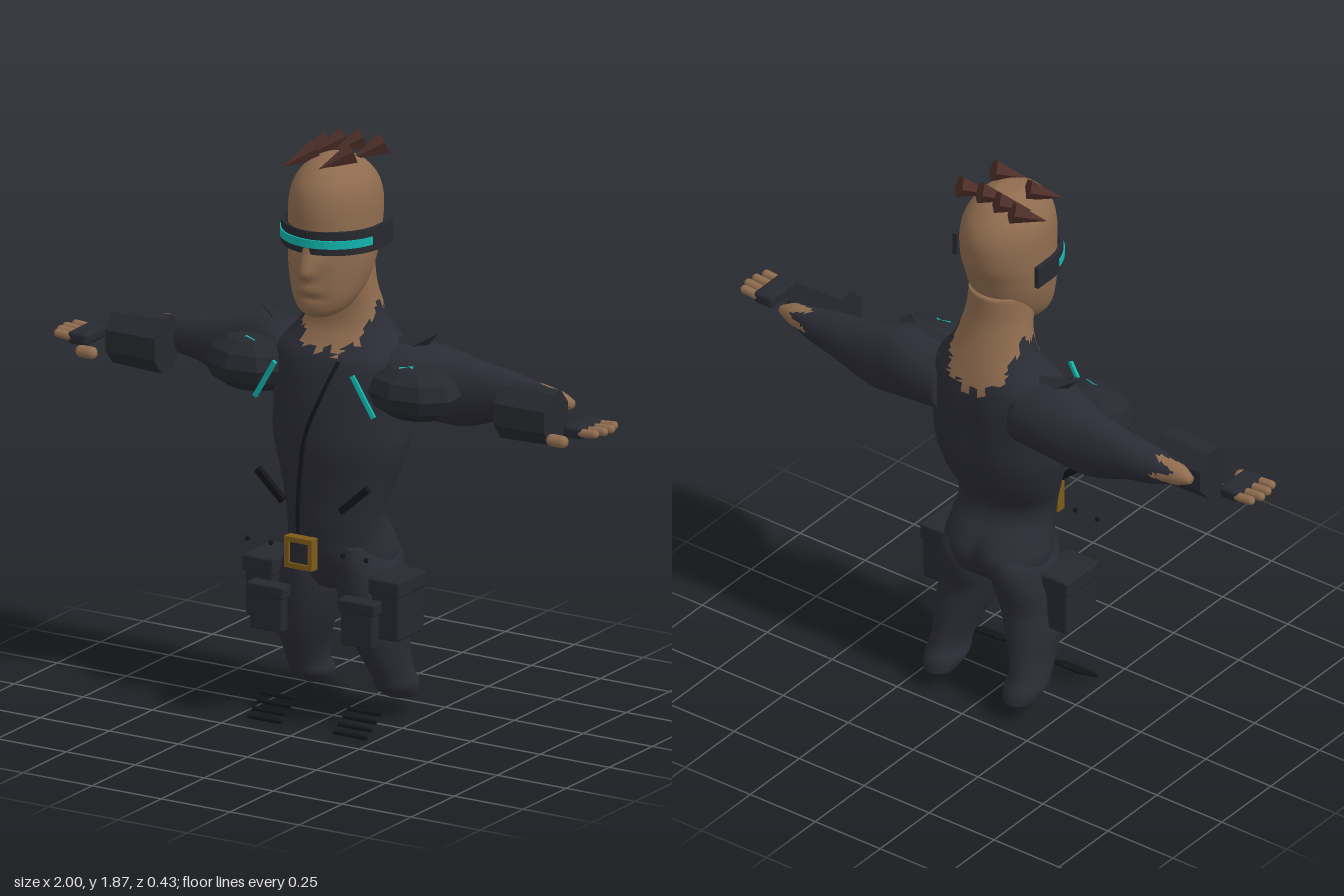
import * as THREE from 'three';
import { RoundedBoxGeometry } from 'three/addons/geometries/RoundedBoxGeometry.js';

const material = (name, color) => {
  const m = new THREE.MeshStandardMaterial({ color });
  m.name = name;
  return m;
};
const gauss = (d, w) => Math.exp(-(d * d) / (w * w));

// Smooth loft through elliptical sections [t, a0, a1, z0, z1];
// t runs along y (a is x) or along x (a is y). paint(x, y, z) picks the material index of a face.
function loft(sections, axis, { sides = 32, steps = 4, bend = null, paint = null } = {}) {
  const rows = [];
  for (let i = 0; i < sections.length - 1; i++) {
    const [p, q, r, s] = [-1, 0, 1, 2].map(k => sections[Math.min(Math.max(i + k, 0), sections.length - 1)]);
    const last = i === sections.length - 2 ? 1 : 0;
    for (let k = 0; k < steps + last; k++) {
      const u = k / steps;
      rows.push(q.map((v, c) => v + 0.5 * u * (r[c] - p[c] + u * (2 * p[c] - 5 * v + 4 * r[c] - s[c] + u * (3 * (v - r[c]) + s[c] - p[c])))));
    }
  }
  const pos = [], idx = [[], []];
  const put = (t, a, z) => {
    const v = axis === 'y' ? new THREE.Vector3(a, t, z) : new THREE.Vector3(t, a, z);
    if (bend) bend(v);
    pos.push(v.x, v.y, v.z);
  };
  for (const [t, a0, a1, z0, z1] of rows)
    for (let j = 0; j < sides; j++) {
      const w = j / sides * Math.PI * 2;
      put(t, (a0 + a1) / 2 + (a1 - a0) / 2 * Math.cos(w), (z0 + z1) / 2 + (z1 - z0) / 2 * Math.sin(w));
    }
  const first = rows[0], end = rows[rows.length - 1];
  for (const [t, a0, a1, z0, z1] of [first, end]) put(t, (a0 + a1) / 2, (z0 + z1) / 2);
  const flip = (axis === 'x') !== (end[0] < first[0]);
  const tri = (a, b, c) => {
    const mid = k => (pos[a * 3 + k] + pos[b * 3 + k] + pos[c * 3 + k]) / 3;
    idx[paint ? paint(mid(0), mid(1), mid(2)) : 0].push(...(flip ? [a, c, b] : [a, b, c]));
  };
  const n = rows.length;
  for (let j = 0; j < sides; j++) {
    const k = (j + 1) % sides;
    for (let i = 0; i < n - 1; i++) {
      const a = i * sides + j, b = i * sides + k;
      tri(a, a + sides, b);
      tri(b, a + sides, b + sides);
    }
    tri(n * sides, j, k);
    tri(n * sides + 1, (n - 1) * sides + k, (n - 1) * sides + j);
  }
  const g = new THREE.BufferGeometry();
  g.setAttribute('position', new THREE.Float32BufferAttribute(pos, 3));
  g.setIndex([...idx[0], ...idx[1]]);
  g.addGroup(0, idx[0].length, 0);
  g.addGroup(idx[0].length, idx[1].length, 1);
  g.computeVertexNormals();
  return g;
}

function faceted(g) {
  const f = g.toNonIndexed();
  f.computeVertexNormals();
  return f;
}

// Sections that mirror about x = 0: [y, halfWidth, zBack, zFront]
const even = list => list.map(([y, w, b, f]) => [y, -w, w, b, f]);

export function createModel() {
  const suit = material('suit', 0x2b2c35), skin = material('skin', 0x8f6c4f);
  const armour = material('armour', 0x272930), rubber = material('rubber', 0x141519);
  const hair = material('hair', 0x4c2e28), glow = material('glow', 0x12b5ae), brass = material('brass', 0x7d5a1a);
  const root = new THREE.Group();
  root.name = 'armouredFigure';
  const body = new THREE.Group();
  body.name = 'body';
  body.position.x = 0.007;
  root.add(body);

  const add = (name, geo, mat, p = [0, 0, 0], parent = body) => {
    const m = new THREE.Mesh(geo, mat);
    m.name = name;
    m.position.set(...p);
    parent.add(m);
    return m;
  };
  // Places a y-aligned geometry of unit height between two points
  const between = (name, geo, mat, a, b, parent = body) => {
    const A = new THREE.Vector3(...a), B = new THREE.Vector3(...b), d = B.clone().sub(A);
    const m = add(name, geo, mat, A.clone().add(B).multiplyScalar(0.5).toArray(), parent);
    m.scale.y = d.length();
    m.quaternion.setFromUnitVectors(new THREE.Vector3(0, 1, 0), d.normalize());
    return m;
  };

  // Torso and neck, with a ragged collar where suit meets skin
  const torso = even([
    [0.43, 0.1, -0.13, 0.05], [0.48, 0.165, -0.18, 0.08], [0.54, 0.18, -0.2, 0.1], [0.6, 0.172, -0.172, 0.105],
    [0.66, 0.166, -0.13, 0.11], [0.72, 0.175, -0.125, 0.112], [0.8, 0.2, -0.172, 0.12], [0.9, 0.225, -0.205, 0.133],
    [1.0, 0.228, -0.213, 0.125], [1.1, 0.24, -0.215, 0.11], [1.17, 0.235, -0.208, 0.09], [1.22, 0.188, -0.196, 0.06],
    [1.27, 0.147, -0.18, 0.037], [1.33, 0.122, -0.16, 0.035], [1.4, 0.108, -0.142, 0.05], [1.48, 0.1, -0.137, 0.05]]);
  add('torsoAndNeck', loft(torso, 'y', {
    sides: 48,
    bend: v => {
      if (v.z < -0.05) v.z += 0.035 * gauss(v.x, 0.03) * gauss(v.y - 0.5, 0.08) + 0.02 * gauss(v.x, 0.04) * gauss(v.y - 0.92, 0.2);
    },
    paint: (x, y, z) => {
      const w = Math.atan2(z + 0.07, x);
      const edge = 1.2 + 0.14 * Math.cos(w) ** 4 - (z < -0.1 ? 0.03 * Math.sin(w) ** 4 : 0) + 0.015 * Math.sin(w * 14);
      return y > edge ? 1 : 0;
    }
  }), [suit, skin]);

  // Head with nose, lips, chin and eye sockets
  const head = even([
    [1.325, 0.045, 0.03, 0.135], [1.345, 0.075, -0.02, 0.155], [1.38, 0.1, -0.06, 0.163], [1.42, 0.116, -0.1, 0.166],
    [1.48, 0.13, -0.13, 0.166], [1.54, 0.136, -0.15, 0.165], [1.6, 0.137, -0.172, 0.168], [1.68, 0.135, -0.177, 0.167],
    [1.74, 0.12, -0.153, 0.148], [1.79, 0.083, -0.1, 0.1], [1.815, 0.035, -0.04, 0.045]]);
  add('head', loft(head, 'y', {
    sides: 56, steps: 5,
    bend: v => {
      if (v.z < 0.07) return;
      const { x, y } = v;
      const nose = y < 1.475 ? gauss(y - 1.475, 0.018) : Math.max(0, 1 - (y - 1.475) / 0.11);
      v.z += 0.036 * nose * gauss(x, 0.02) + 0.009 * gauss(y - 1.42, 0.014) * gauss(x, 0.035)
        - 0.007 * gauss(y - 1.392, 0.012) * gauss(x, 0.05) - 0.016 * gauss(y - 1.55, 0.025) * gauss(Math.abs(x) - 0.05, 0.025);
    }
  }), skin);

  // Wrap-around visor with a glowing strip
  const ribbon = (name, mat, rx, rz, thick, start, tail, low, high) => {
    const outer = [], inner = [];
    for (let i = 0; i <= 28; i++) {
      const w = start + (Math.PI - 2 * start) * i / 28, c = Math.cos(w), s = Math.sin(w);
      outer.push(new THREE.Vector2(rx * c, rz * s));
      inner.unshift(new THREE.Vector2((rx - thick) * c, (rz - thick) * s));
    }
    const ends = tail ? [[-rx, tail], [thick - rx, tail]] : [];
    const ends2 = tail ? [[rx - thick, tail], [rx, tail]] : [];
    const pts = [...outer, ...ends.map(e => new THREE.Vector2(...e)), ...inner, ...ends2.map(e => new THREE.Vector2(...e))];
    const g = new THREE.ExtrudeGeometry(new THREE.Shape(pts), { depth: high - low, bevelEnabled: false });
    g.rotateX(Math.PI / 2);
    add(name, g, mat, [0, high, 0]);
  };
  ribbon('visorBand', armour, 0.165, 0.171, 0.014, 0, -0.07, 1.538, 1.612);
  ribbon('visorGlow', glow, 0.168, 0.177, 0.008, 0.24, 0, 1.56, 1.586);

  // Swept hair spikes
  const spike = faceted(new THREE.ConeGeometry(0.036, 1, 5));
  for (const [x, y, z] of [[-0.125, 1.79, -0.07], [-0.07, 1.81, -0.075], [-0.005, 1.82, -0.075], [0.07, 1.815, -0.08], [-0.095, 1.8, 0.05], [0.04, 1.815, 0.055]])
    between('hairSpike', spike, hair, [x + 0.035, y + 0.02, z - 0.035], [x - 0.04, y - 0.025, z + 0.045]);

  // Front zip
  const zip = new THREE.CatmullRomCurve3([[0.07, 1.18, 0.095], [0.045, 1.09, 0.145], [-0.012, 0.95, 0.153], [-0.032, 0.82, 0.153], [-0.042, 0.7, 0.15], [-0.042, 0.61, 0.148]]
    .map(p => new THREE.Vector3(...p)));
  add('zip', new THREE.TubeGeometry(zip, 30, 0.007, 6), rubber);

  // Belt buckle
  const square = (C, r) => new C([[-r, -r], [r, -r], [r, r], [-r, r]].map(p => new THREE.Vector2(...p)));
  const frame = square(THREE.Shape, 0.05);
  frame.holes.push(square(THREE.Path, 0.034));
  add('buckleFrame', new THREE.ExtrudeGeometry(frame, { depth: 0.035, bevelEnabled: false }), brass, [0, 0.582, 0.182]);
  add('bucklePlate', new THREE.BoxGeometry(0.07, 0.07, 0.02), armour, [0, 0.582, 0.198]);

  const bar = new THREE.CylinderGeometry(0.007, 0.007, 1, 6);
  const strip = new THREE.BoxGeometry(0.014, 1, 0.01);
  const strap = new THREE.BoxGeometry(0.022, 1, 0.018);
  const flap = faceted(new THREE.ConeGeometry(0.05, 1, 4));
  const finger = new THREE.CapsuleGeometry(0.014, 0.06, 4, 10).rotateZ(Math.PI / 2);
  const pad = faceted(new THREE.SphereGeometry(1, 9, 6).scale(0.16, 0.09, 0.112));
  const cuff = faceted(new THREE.CylinderGeometry(1, 1.07, 0.18, 8).rotateY(Math.PI / 8).scale(0.088, 1, 0.075).rotateZ(-Math.PI / 2));

  for (const s of [1, -1]) {
    const side = s > 0 ? 'left' : 'right';
    const limb = list => list.map(([t, a, b, c, d]) => [t, Math.min(s * a, s * b), Math.max(s * a, s * b), c, d]);

    // Legs
    add(side + 'Leg', loft(limb([
      [0.062, 0.105, 0.2, -0.205, -0.09], [0.1, 0.09, 0.215, -0.2, -0.03], [0.14, 0.095, 0.212, -0.178, -0.008], [0.2, 0.082, 0.21, -0.165, 0.03],
      [0.28, 0.05, 0.215, -0.157, 0.065], [0.36, 0.022, 0.21, -0.15, 0.08], [0.44, 0.005, 0.2, -0.172, 0.086], [0.52, 0.01, 0.18, -0.185, 0.09],
      [0.58, 0.03, 0.155, -0.15, 0.08]]), 'y'), suit);

    // Arms, the sleeve torn open at the wrist
    add(side + 'Arm', loft([
      [0.14, 0.99, 1.21, -0.2, 0.05], [0.24, 0.985, 1.225, -0.207, 0.035], [0.32, 0.98, 1.222, -0.202, 0], [0.4, 0.975, 1.205, -0.192, -0.03],
      [0.48, 0.995, 1.187, -0.185, -0.045], [0.56, 1.025, 1.175, -0.178, -0.055], [0.64, 1.04, 1.16, -0.168, -0.06], [0.7, 1.06, 1.15, -0.155, -0.075],
      [0.75, 1.075, 1.14, -0.145, -0.085], [0.79, 1.095, 1.12, -0.13, -0.105]].map(([x, ...r]) => [s * x, ...r]), 'x', {
      sides: 28,
      paint: (x, y, z) => Math.abs(x) > 0.7 + 0.04 * Math.sin(Math.atan2(z + 0.11, y - 1.1) * 5) ? 1 : 0
    }), [suit, skin]);

    // Shoulder pad with collar flap and glowing mark
    add(side + 'ShoulderPad', pad, armour, [s * 0.295, 1.1, 0.015]);
    add(side + 'PadMark', new THREE.BoxGeometry(0.045, 0.009, 0.018), glow, [s * 0.285, 1.178, 0.045]).rotation.set(0.3, s * 0.4, 0);
    between(side + 'CollarFlap', flap, suit, [s * 0.19, 1.185, -0.08], [s * 0.325, 1.268, -0.08]);
    between(side + 'ChestStrip', strip, glow, [s * 0.14, 1.155, 0.127], [s * 0.215, 1.03, 0.122]);

    // Waist straps and rivets
    between(side + 'WaistStrap', strap, rubber, [s * 0.2, 0.8, 0.13], [s * 0.105, 0.715, 0.135]);
    for (const x of [0.13, 0.215]) add(side + 'Rivet', new THREE.SphereGeometry(0.008, 8, 6), rubber, [s * x, 0.583, 0.165]);

    // Hip and thigh pouches with lids
    for (const [name, x, y, z, w, h, d] of [['HipPouch', 0.228, 0.4, 0.003, 0.1, 0.195, 0.155], ['ThighPouch', 0.165, 0.36, 0.122, 0.12, 0.15, 0.042]]) {
      add(side + name, new RoundedBoxGeometry(w, h, d, 1, 0.01), armour, [s * x, y, z]);
      add(side + name + 'Lid', new RoundedBoxGeometry(w + 0.014, h * 0.28, d + 0.014, 1, 0.008), armour, [s * x, y + h * 0.37, z]);
    }

    // Boot treads
    for (let i = 0; i < 4; i++) {
      const y = 0.008 + i * 0.018, z = 0.16 - i * 0.027;
      between(side + 'Tread', bar, rubber, [s * 0.095, y, z], [s * 0.215, y, z]);
    }

    // Forearm guard
    const guard = add(side + 'ForearmGuard', cuff, armour, [s * 0.705, 1.09, -0.02], root);
    if (s < 0) guard.rotation.y = Math.PI;

    // Gloved hand
    const hand = new THREE.Group();
    hand.name = side + 'Hand';
    root.add(hand);
    add('glove', new RoundedBoxGeometry(0.07, 0.04, 0.135, 2, 0.012), armour, [s * 0.897, 1.078, -0.014], hand);
    [-0.068, -0.032, 0.004, 0.04].forEach((z, i) =>
      add('finger', finger, skin, [s * (0.956 - [0.012, 0, 0.003, 0.014][i]), 1.08, z], hand).rotation.z = s * 0.08);
    add('thumb', new THREE.CapsuleGeometry(0.02, 0.035, 4, 10).rotateZ(Math.PI / 2), skin, [s * 0.853, 1.048, 0.066], hand);
  }
  return root;
}
